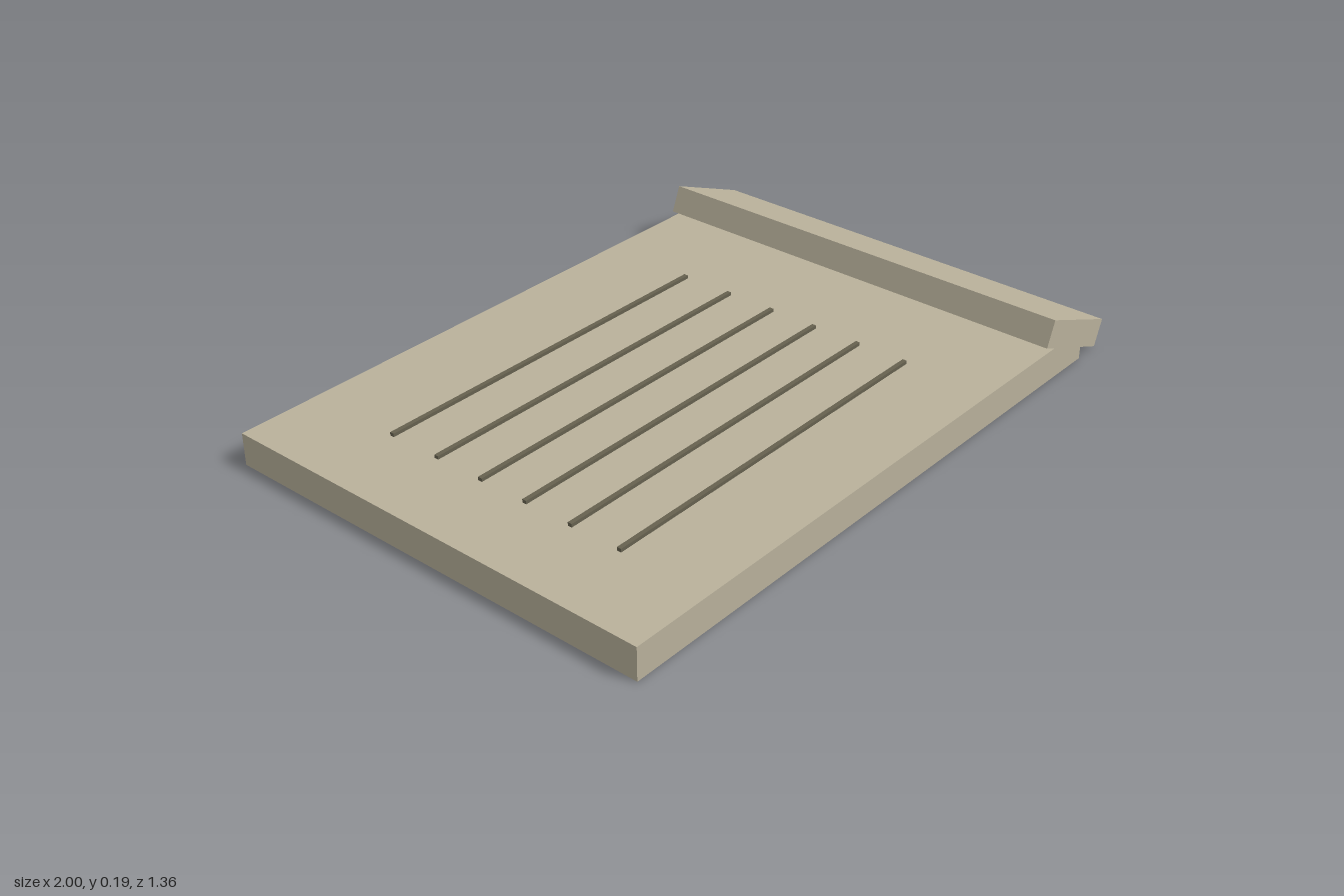
import * as THREE from 'three';

const DEPTH = 1.36;

export function createModel() {
  const model = new THREE.Group();
  model.name = 'slottedPanel';

  const stone = new THREE.MeshStandardMaterial({ color: 0xb9b19b });
  stone.name = 'warm beige';
  const dark = new THREE.MeshStandardMaterial({ color: 0x66614f });
  dark.name = 'dark olive grey';

  const addBox = (name, size, position, material) => {
    const mesh = new THREE.Mesh(new THREE.BoxGeometry(...size), material);
    mesh.name = name;
    mesh.position.set(...position);
    model.add(mesh);
    return mesh;
  };

  // Flat base slab
  addBox('baseSlab', [1.885, 0.096, DEPTH], [-0.0575, 0.048, 0], stone);

  // Sloping lip along the left edge
  const lip = addBox('slopingLip', [0.296, 0.082, DEPTH], [0.846, 0.0965, 0], stone);
  lip.rotation.z = -0.38;

  // Thin raised ribs on the slab
  [-0.375, -0.21, -0.053, 0.1, 0.252, 0.41].forEach((z, i) => {
    addBox(`rib${i + 1}`, [1.16, 0.014, 0.013], [-0.18, 0.099, z], dark);
  });

  return model;
}
